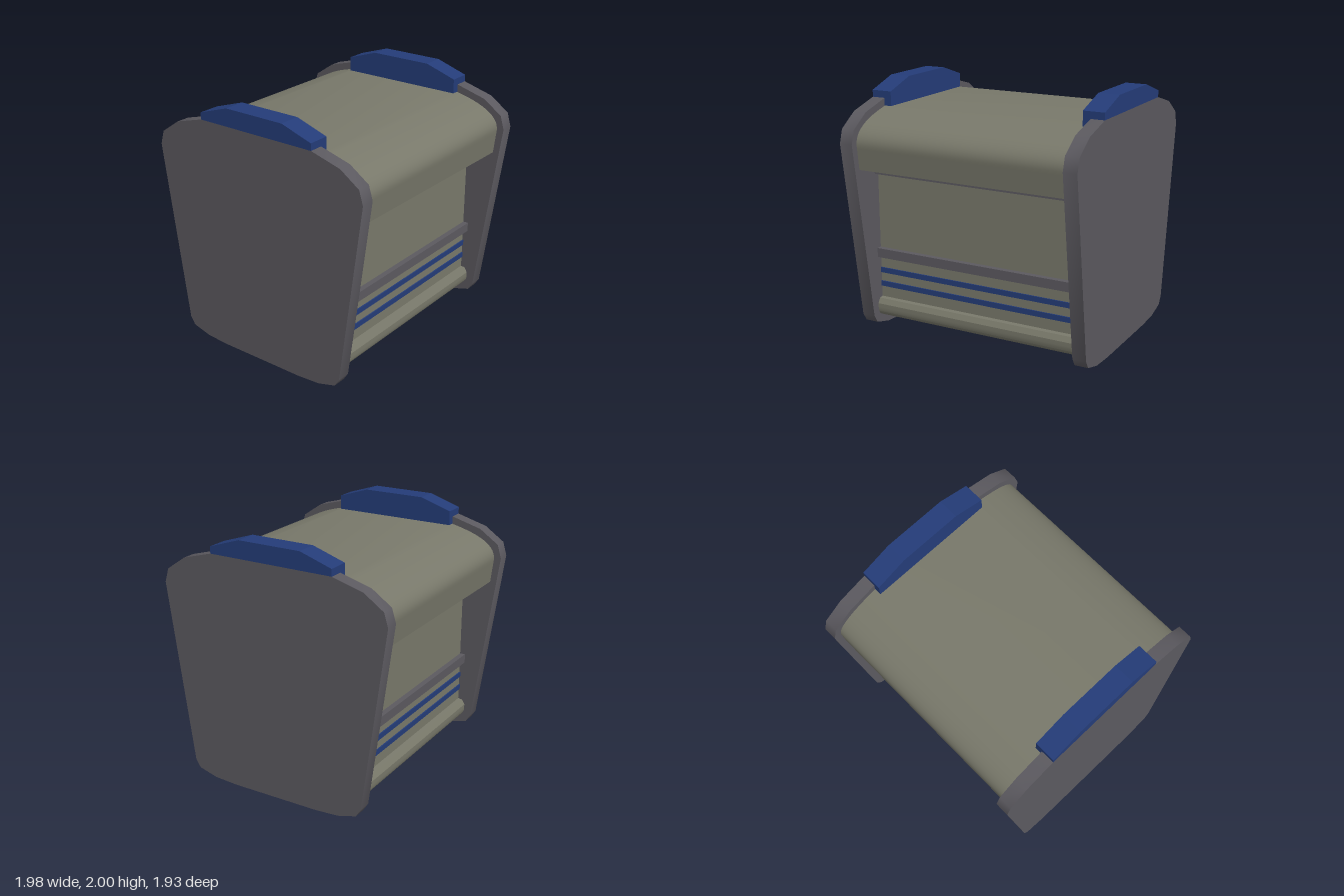
import * as THREE from 'three';
import { toCreasedNormals } from 'three/addons/utils/BufferGeometryUtils.js';

const shell = new THREE.MeshStandardMaterial({ color: 0x78786a });
const grey = new THREE.MeshStandardMaterial({ color: 0x5b595f });
const blue = new THREE.MeshStandardMaterial({ color: 0x243c78 });

// Extrude a front-back symmetric outline along x; half lists [z, y] from top to bottom for z > 0
function slab(half, x0, x1, crease) {
  const pts = half.map(([z, y]) => new THREE.Vector2(z, y));
  const mirrored = [...pts].reverse().map((p) => new THREE.Vector2(-p.x, p.y));
  const geo = new THREE.ExtrudeGeometry(new THREE.Shape([...pts, ...mirrored]), {
    depth: x1 - x0, bevelEnabled: false,
  });
  geo.rotateY(-Math.PI / 2).translate(x1, 0, 0);
  return toCreasedNormals(geo, crease);
}

function bezier(a, b, c, d, n) {
  const v = [a, b, c, d].map(([x, y]) => new THREE.Vector2(x, y));
  return new THREE.CubicBezierCurve(...v).getPoints(n).map((p) => [p.x, p.y]);
}

export function createModel() {
  const model = new THREE.Group();
  const add = (name, geo, mat) => {
    const mesh = new THREE.Mesh(geo, mat);
    mesh.name = name;
    model.add(mesh);
    return mesh;
  };
  const box = (name, mat, w, h, d, x, y, z) =>
    add(name, new THREE.BoxGeometry(w, h, d), mat).position.set(x, y, z);

  // Body: rounded hood, recessed walls and a rounded base lip
  const bodyHalf = [
    ...bezier([0.51, 1.8], [0.74, 1.75], [0.93, 1.68], [0.9, 1.53], 16),
    [0.88, 1.36], [0.64, 1.36], [0.64, 0.255],
    [0.675, 0.25], [0.7, 0.21],
    ...bezier([0.7, 0.18], [0.7, 0.09], [0.62, 0.08], [0.4, 0.07], 12),
  ];
  add('body', slab(bodyHalf, -0.88, 0.88, 0.24), shell);

  const panelHalf = [
    [0.52, 1.86], [0.77, 1.79], [0.93, 1.68], [0.963, 1.57],
    [0.76, 0.12], [0.72, 0.055], [0.565, 0.012], [0.37, 0],
  ];
  const padHalf = [[0.26, 2], [0.52, 1.915], [0.52, 1.86]];

  for (const [side, s] of [['left', 1], ['right', -1]]) {
    const span = (a, b) => (s > 0 ? [a, b] : [-b, -a]);
    add(side + 'SidePanel', slab(panelHalf, ...span(0.88, 0.99), 0.75), grey);
    // Pad sits over the panel edge and drops down inside it to the hood
    add(side + 'TopPad', slab(padHalf, ...span(0.82, 0.99), 0.1), blue);
    box(side + 'TopPadInner', blue, 0.06, 0.06, 1.04, s * 0.85, 1.83, 0);
  }

  // Rails and trim stripes across the front and back walls
  for (const [face, s] of [['front', 1], ['back', -1]]) {
    box(face + 'UpperRail', grey, 1.76, 0.075, 0.07, 0, 1.3225, s * 0.65);
    box(face + 'LowerRail', grey, 1.76, 0.075, 0.07, 0, 0.6375, s * 0.65);
    for (const y of [0.3675, 0.4825])
      box(face + 'TrimStripe', blue, 1.76, 0.043, 0.04, 0, y, s * 0.63);
  }
  return model;
}
